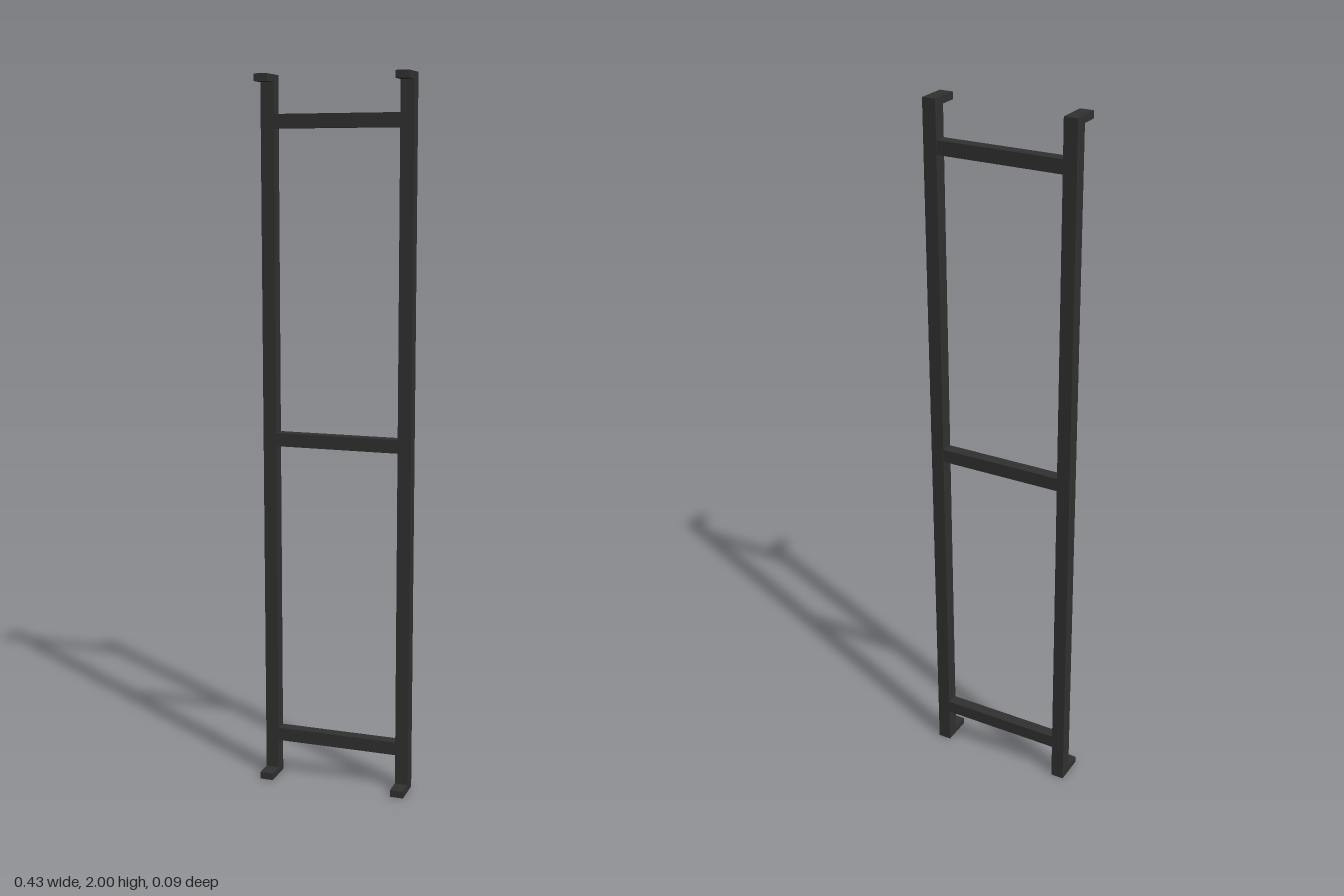
import * as THREE from 'three';

export function createModel() {
  const model = new THREE.Group();
  model.name = 'ladderFrame';
  const darkMetal = new THREE.MeshStandardMaterial({ color: 0x303030 });
  darkMetal.name = 'darkMetal';

  // Box given by its size and centre
  function addBox(name, size, centre) {
    const mesh = new THREE.Mesh(new THREE.BoxGeometry(...size), darkMetal);
    mesh.name = name;
    mesh.position.set(...centre);
    model.add(mesh);
  }

  const bar = 0.038;
  const railX = 0.197;
  const backZ = -0.0435;
  const frontZ = 0.0435;
  const railFront = backZ + bar;
  const tabHeight = 0.02;

  // Upright rails, each with a forward mounting tab at both ends
  for (const [side, sign] of [['left', 1], ['right', -1]]) {
    const x = sign * railX;
    addBox(side + 'Rail', [bar, 2, bar], [x, 1, backZ + bar / 2]);
    for (const [end, y] of [['Bottom', tabHeight / 2], ['Top', 2 - tabHeight / 2]]) {
      addBox(side + end + 'Tab', [bar, tabHeight, frontZ - railFront], [x, y, (railFront + frontZ) / 2]);
    }
  }

  // Rungs between the rails, slightly shallower than the rails
  const rungDepth = 0.033;
  [['bottomRung', 0.123], ['middleRung', 1], ['topRung', 1.877]].forEach(([name, y]) =>
    addBox(name, [2 * railX - bar, bar, rungDepth], [0, y, backZ + bar / 2 - 0.0005]));

  return model;
}
